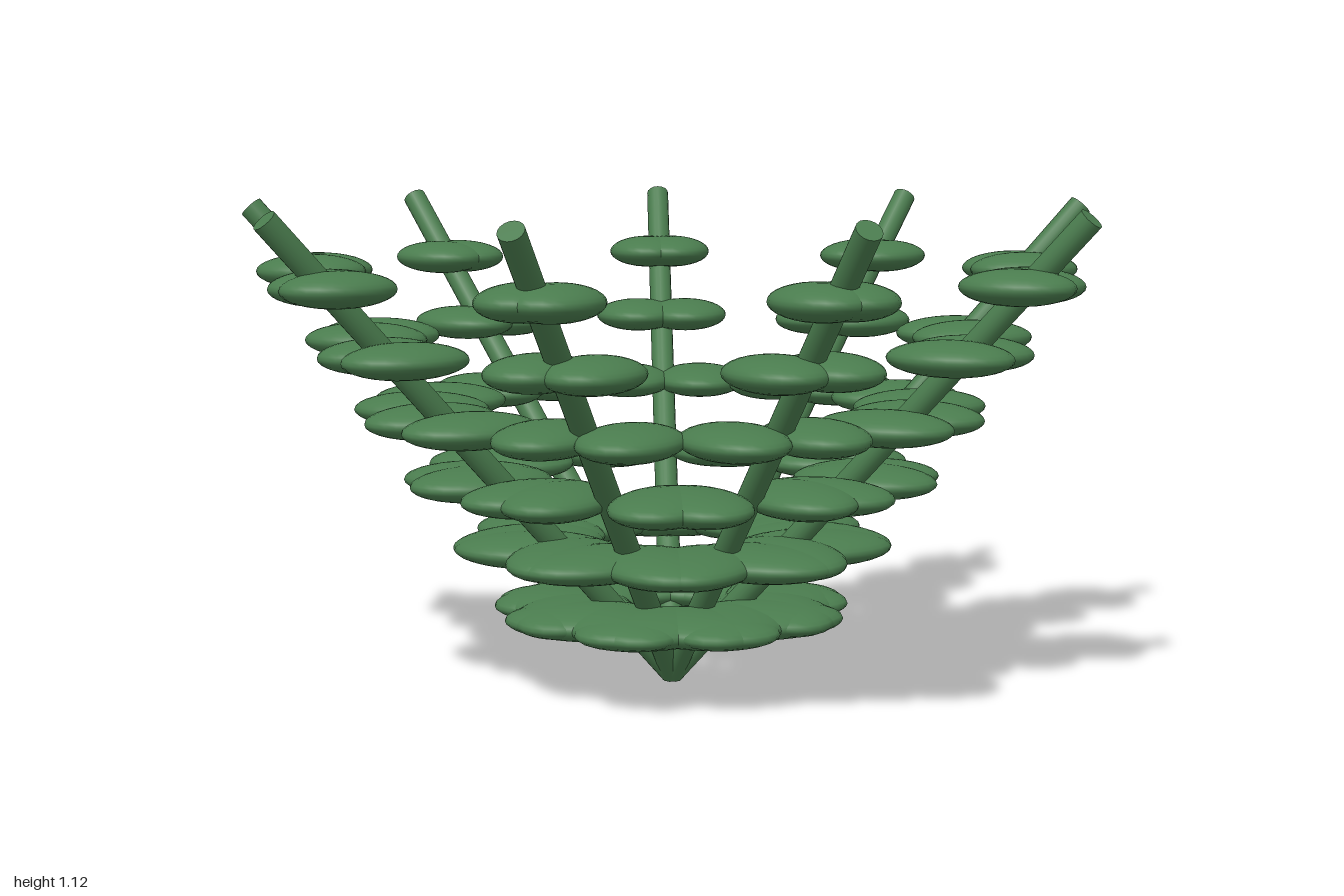
import * as THREE from 'three';

const green = new THREE.MeshStandardMaterial({ color: 0x4a7c4e });
green.name = 'leafGreen';

const FRONDS = 9, LEVELS = 6;
const BASE_Y = 0.02, TIP_Y = 1.1, TIP_R = 0.99, STEM_RADIUS = 0.028;

// One frond, leaning outwards along +x
function makeFrond(leafGeometry) {
  const frond = new THREE.Group();

  // Straight slanted stem
  const from = new THREE.Vector3(0, BASE_Y, 0);
  const to = new THREE.Vector3(TIP_R, TIP_Y, 0);
  const axis = to.clone().sub(from);
  const stem = new THREE.Mesh(
    new THREE.CylinderGeometry(STEM_RADIUS, STEM_RADIUS, axis.length(), 16), green);
  stem.name = 'stem';
  stem.position.copy(from).add(to).multiplyScalar(0.5);
  stem.quaternion.setFromUnitVectors(new THREE.Vector3(0, 1, 0), axis.normalize());
  frond.add(stem);

  // Pairs of flat leaflets, larger and wider apart towards the base
  for (let i = 0; i < LEVELS; i++) {
    const y = 0.953 - i * 0.155;
    for (const side of [-1, 1]) {
      const leaf = new THREE.Mesh(leafGeometry, green);
      leaf.name = side < 0 ? 'rightLeaflet' : 'leftLeaflet';
      leaf.scale.set(0.128 + i * 0.0145, 0.04, 0.1 + i * 0.006);
      leaf.position.set(y * 0.882, y, side * (0.03 + i * 0.031));
      frond.add(leaf);
    }
  }
  return frond;
}

export function createModel() {
  const plant = new THREE.Group();
  plant.name = 'fernPlant';
  const leafGeometry = new THREE.SphereGeometry(1, 28, 16);

  // Ring of fronds around the root
  for (let i = 0; i < FRONDS; i++) {
    const frond = makeFrond(leafGeometry);
    frond.name = 'frond' + (i + 1);
    frond.position.x = -0.03;
    frond.rotation.y = (i / FRONDS) * Math.PI * 2;
    plant.add(frond);
  }
  return plant;
}
